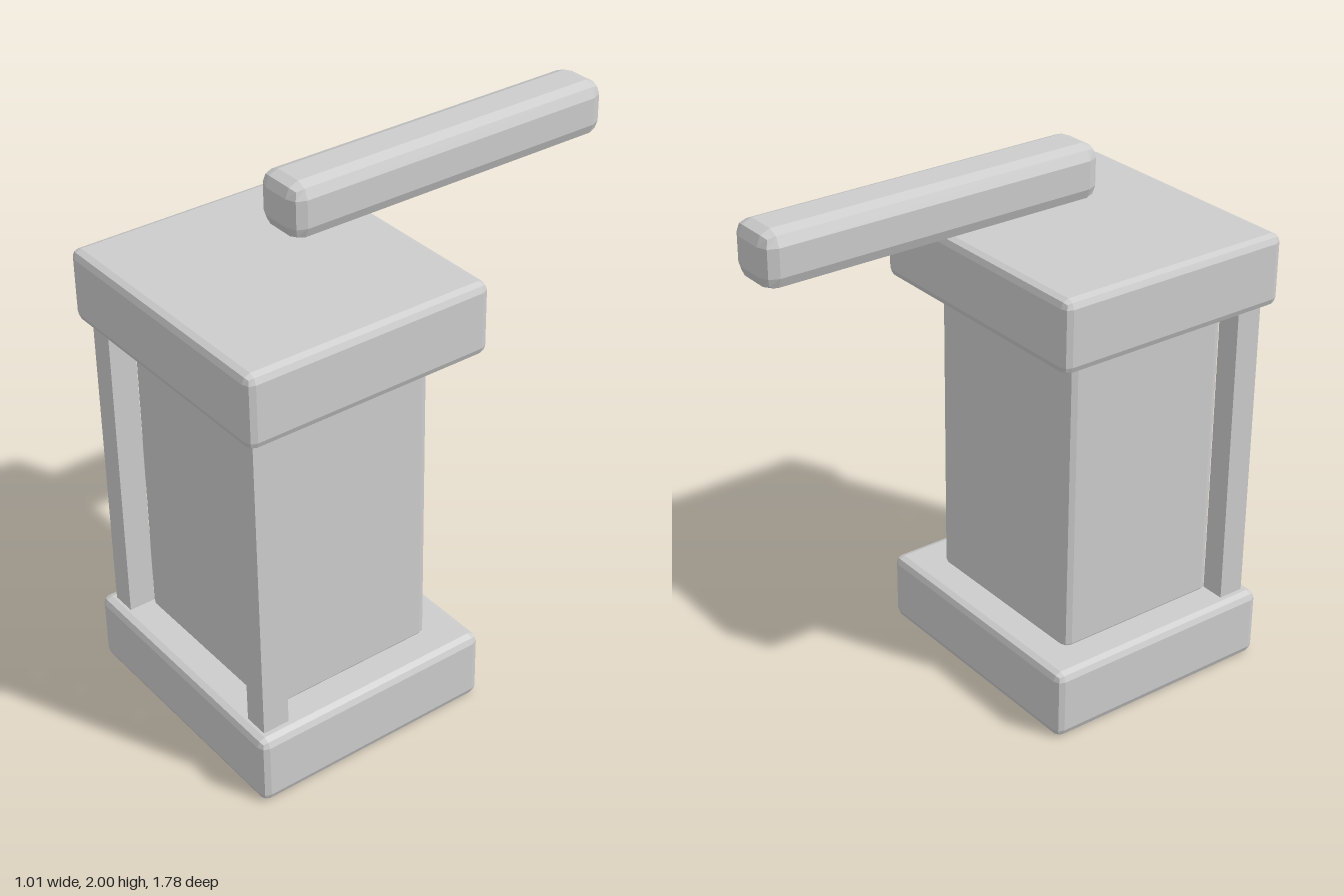
import * as THREE from 'three';
import { RoundedBoxGeometry } from 'three/addons/geometries/RoundedBoxGeometry.js';

export function createModel() {
  const model = new THREE.Group();
  const grey = new THREE.MeshStandardMaterial({ color: 0xcccccc, flatShading: true });
  grey.name = 'plain grey';

  // Box given by its min and max corners, with optional bevelled edges
  function block(name, [x0, y0, z0], [x1, y1, z1], bevel = 0) {
    const size = [x1 - x0, y1 - y0, z1 - z0];
    const geometry = bevel
      ? new RoundedBoxGeometry(...size, 1, bevel)
      : new THREE.BoxGeometry(...size);
    const mesh = new THREE.Mesh(geometry, grey);
    mesh.name = name;
    mesh.position.set((x0 + x1) / 2, (y0 + y1) / 2, (z0 + z1) / 2);
    model.add(mesh);
  }

  // Base and cap slabs
  block('base', [-0.505, 0, -0.045], [0.505, 0.265, 0.89], 0.03);
  block('cap', [-0.505, 1.43, -0.045], [0.505, 1.695, 0.89], 0.03);

  // Main column between the slabs
  block('body', [-0.37, 0.24, 0.09], [0.37, 1.46, 0.76], 0.03);

  // Square posts at the two front corners
  for (const side of [-1, 1]) {
    const xs = [side * 0.365, side * 0.458].sort((a, b) => a - b);
    block(side > 0 ? 'leftPost' : 'rightPost', [xs[0], 0.25, 0.75], [xs[1], 1.45, 0.85]);
  }

  // Bar floating above the cap and reaching backwards
  block('handle', [-0.103, 1.8, -0.89], [0.103, 2, 0.42], 0.05);

  return model;
}
